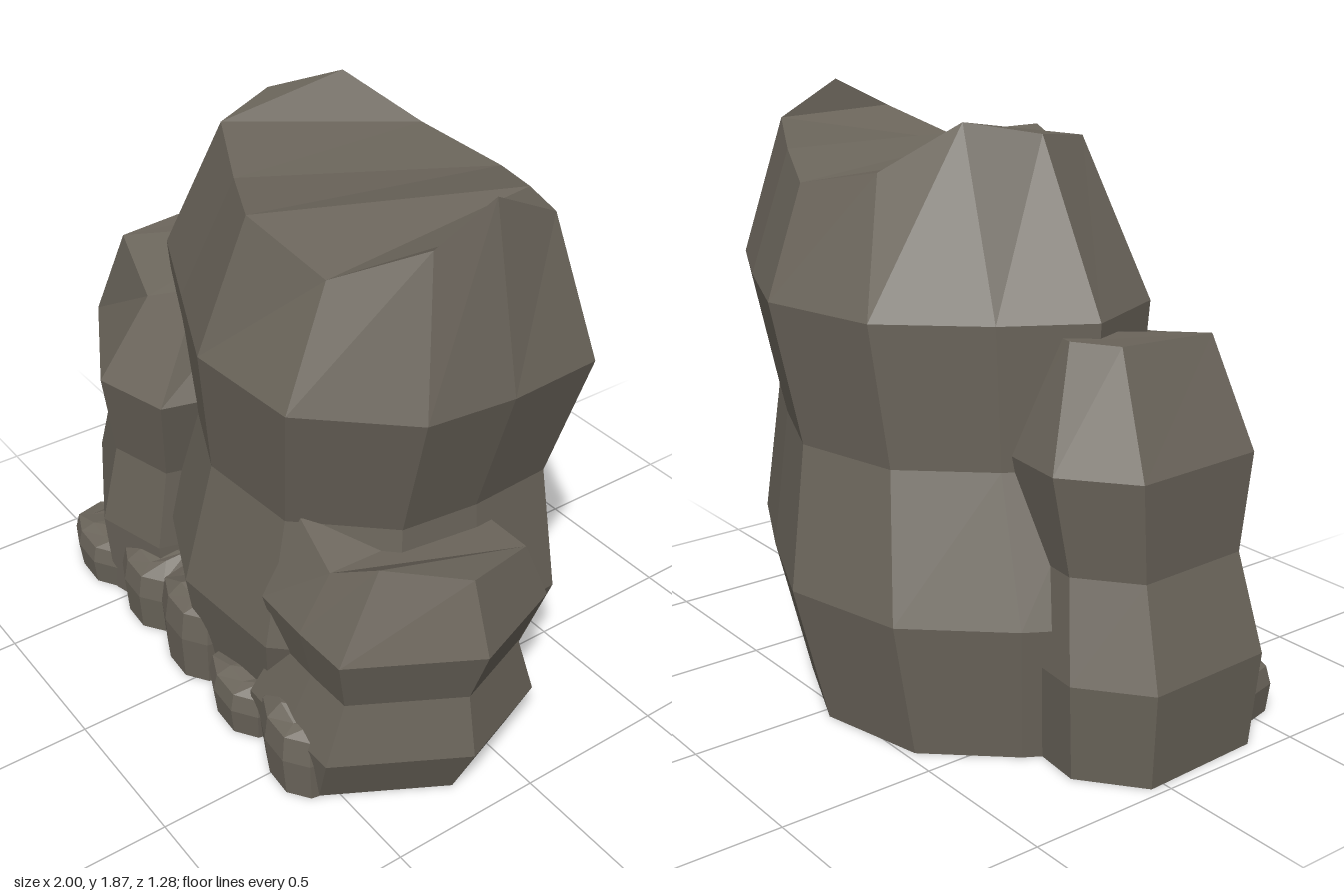
import * as THREE from 'three';

const stone = new THREE.MeshStandardMaterial({ color: 0x6b655b, flatShading: true });
stone.name = 'stone';

// A closed boulder: one outline repeated as layers [y, scale, dx, dz] about a
// centre, then a jagged crown ring of [x, y, z] closed by a zigzag cap.
function boulder(name, [cx, cz], outline, layers, crown) {
  const n = outline.length;
  const pos = [];
  const idx = [];
  for (const [y, s, dx = 0, dz = 0] of layers) {
    for (const [x, z] of outline) pos.push(cx + (x - cx) * s + dx, y, cz + (z - cz) * s + dz);
  }
  for (const p of crown) pos.push(...p);

  // walls
  for (let r = 0; r < layers.length; r++) {
    for (let i = 0; i < n; i++) {
      const a = r * n + i, b = r * n + (i + 1) % n;
      idx.push(a, b, b + n, a, b + n, a + n);
    }
  }
  // cap and base, as strips from the left end to the right end
  const top = layers.length * n;
  const tri = (a, b, c) => {
    idx.push(top + a, top + b, top + c);
    idx.push(a, c, b);
  };
  let f = 0, k = n;
  while (k - f > 1) {
    if (k - f > 2 || f === 0) tri(f, f + 1, (k - 1) % n);
    f++;
    if (k - 1 - f > 1) tri(f, k - 2, k - 1);
    k--;
  }

  const indexed = new THREE.BufferGeometry();
  indexed.setAttribute('position', new THREE.Float32BufferAttribute(pos, 3));
  indexed.setIndex(idx);
  const geo = indexed.toNonIndexed();
  geo.computeVertexNormals();
  const mesh = new THREE.Mesh(geo, stone);
  mesh.name = name;
  return mesh;
}

// Small stone at the foot: eight-sided, with an uneven crown
function footStone(name, x0, x1, h, zFront, tilt) {
  const cx = (x0 + x1) / 2, rx = (x1 - x0) / 2, rz = 0.17, cz = zFront - rz;
  const unit = [[-1, 0.1], [-0.86, 0.72], [-0.3, 0.96], [0.4, 1], [0.86, 0.7], [1, 0], [0.5, -0.9], [-0.5, -0.9]];
  const bumps = [0.84, 0.9, 0.95, 0.88, 0.93, 0.98, 1, 0.97];
  const outline = unit.map(([x, z]) => [cx + x * rx, cz + z * rz]);
  const crown = unit.map(([x, z], i) => [
    cx + x * rx * 0.68 + tilt * 0.4, h * bumps[i] + x * tilt, cz + z * rz * 0.66,
  ]);
  return boulder(name, [cx, cz], outline,
    [[0, 0.93, -tilt * 0.3], [h * 0.5, 1], [h * 0.8, 0.93, tilt * 0.3]], crown);
}

export function createModel() {
  const group = new THREE.Group();
  group.name = 'rockCluster';

  // Tall central rock
  group.add(boulder('mainRock', [0.1, 0],
    [[-0.65, 0], [-0.53, 0.3], [-0.2, 0.445], [0.13, 0.59], [0.53, 0.56], [0.79, 0.28],
      [0.82, 0], [0.8, -0.31], [0.48, -0.47], [0.13, -0.62], [-0.26, -0.53], [-0.5, -0.26]],
    [[0, 0.89, -0.17], [0.43, 1.03, -0.12], [0.87, 0.89, -0.06], [1.31, 1]],
    [[-0.38, 1.81, 0], [-0.3, 1.78, 0.22], [-0.06, 1.72, 0.33], [0.19, 1.74, 0.45],
      [0.48, 1.65, 0.39], [0.69, 1.77, 0.2], [0.7, 1.87, 0], [0.69, 1.76, -0.22],
      [0.44, 1.7, -0.35], [0.19, 1.64, -0.46], [-0.1, 1.7, -0.38], [-0.28, 1.85, -0.21]]));

  // Medium rock on the right-hand side of the model
  group.add(boulder('mediumRock', [-0.54, 0.2],
    [[-0.92, -0.07], [-0.9, 0.38], [-0.48, 0.6], [-0.22, 0.53],
      [-0.16, 0.3], [-0.22, 0], [-0.45, -0.2], [-0.72, -0.23]],
    [[0, 0.92, -0.08], [0.31, 0.98, -0.085], [0.61, 0.86, -0.035], [0.92, 1]],
    [[-0.76, 1.27, -0.02], [-0.75, 1.25, 0.34], [-0.46, 1.18, 0.42], [-0.28, 1.16, 0.38],
      [-0.25, 1.15, 0.2], [-0.3, 1.2, 0.05], [-0.5, 1.27, -0.08], [-0.63, 1.27, -0.1]]));

  // Low rock on the left-hand side of the model
  group.add(boulder('lowRock', [0.68, 0.2],
    [[0.36, 0.4], [0.4, 0.57], [0.6, 0.575], [0.79, 0.57],
      [1, 0.2], [0.88, -0.12], [0.6, -0.17], [0.36, 0]],
    [[0, 0.96, -0.12], [0.2, 1.04, -0.05], [0.41, 0.86, -0.03], [0.61, 1]],
    [[0.43, 0.84, 0.3], [0.46, 0.89, 0.47], [0.62, 0.8, 0.48], [0.77, 0.88, 0.42],
      [0.92, 0.84, 0.2], [0.84, 0.79, -0.06], [0.62, 0.79, -0.06], [0.45, 0.77, 0.1]]));

  // Row of small stones along the front
  const row = [
    [-0.87, -0.52, 0.19, 0.62, 0.01], [-0.54, -0.22, 0.28, 0.61, 0.02],
    [-0.25, 0.08, 0.34, 0.62, 0.02], [0.06, 0.39, 0.2, 0.63, 0.01],
    [0.38, 0.69, 0.28, 0.64, -0.01],
  ];
  row.forEach((s, i) => group.add(footStone(`footStone${i + 1}`, ...s)));
  return group;
}
